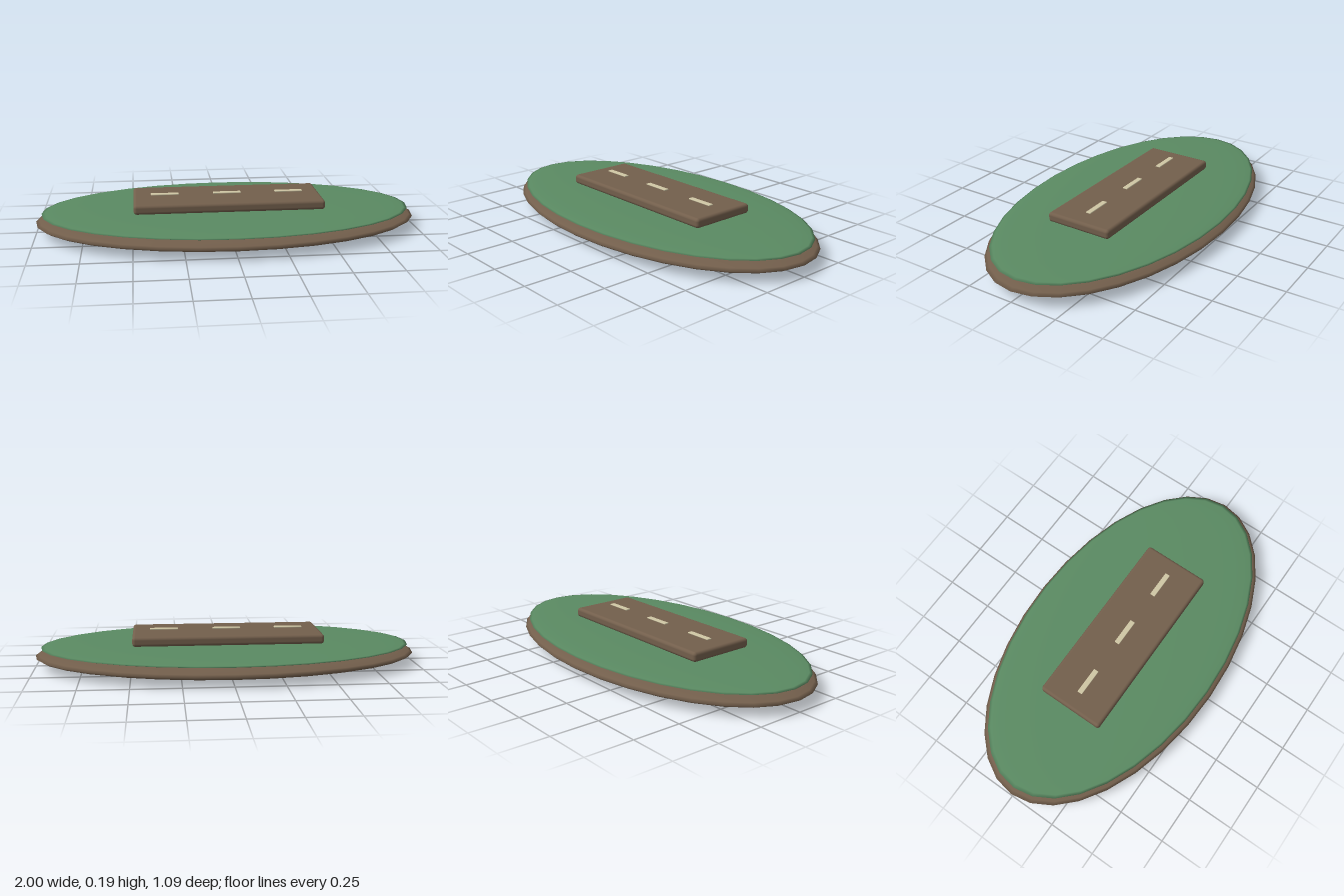
import * as THREE from 'three';
import { RoundedBoxGeometry } from 'three/addons/geometries/RoundedBoxGeometry.js';

function material(name, color) {
  const m = new THREE.MeshStandardMaterial({ color });
  m.name = name;
  return m;
}

export function createModel() {
  const group = new THREE.Group();
  const earth = material('earth brown', 0x735f4c);
  const grass = material('grass green', 0x5a8a62);
  const paint = material('pale line paint', 0xcfc6a4);

  function add(name, geometry, mat, x, y, z) {
    const mesh = new THREE.Mesh(geometry, mat);
    mesh.name = name;
    mesh.position.set(x, y, z);
    group.add(mesh);
  }
  // Flattened sphere with the given half-sizes
  const disc = (rx, ry, rz) => new THREE.SphereGeometry(1, 32, 16).scale(rx, ry, rz);

  // Ground: soil lens with a thinner grass lens on top
  add('soilBase', disc(1, 0.058, 0.545), earth, 0, 0.058, 0);
  add('grassTop', disc(0.97, 0.019, 0.524), grass, 0, 0.102, 0);

  // Raised road slab with softened edges
  add('roadSlab', new RoundedBoxGeometry(0.985, 0.05, 0.36, 3, 0.016), earth, 0, 0.155, 0);

  // Dashed centre line
  for (const i of [-1, 0, 1]) {
    add('roadDash', new RoundedBoxGeometry(0.147, 0.007, 0.028, 2, 0.003), paint, i * 0.328, 0.188, 0);
  }
  return group;
}
